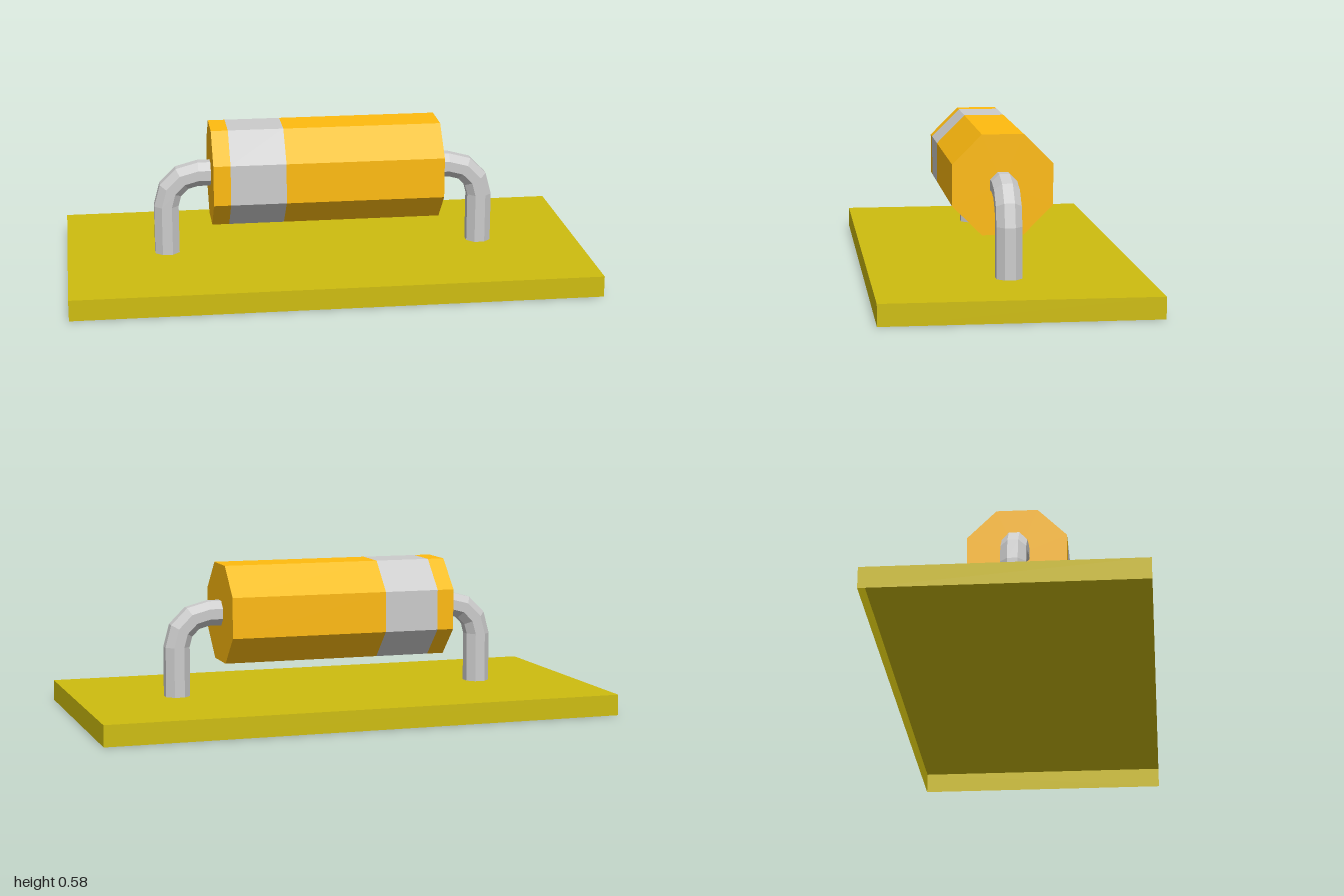
import * as THREE from 'three';

const SIDES = 8;
const AXIS_Y = 0.394; // height of the body's long axis

function material(color, side = THREE.FrontSide) {
  return new THREE.MeshStandardMaterial({ color, flatShading: true, side });
}

function addMesh(parent, name, geometry, mat) {
  const mesh = new THREE.Mesh(geometry, mat);
  mesh.name = name;
  parent.add(mesh);
  return mesh;
}

// Octagonal section of the body, from [radius, x] profile points
function bodySection(profile) {
  const points = profile.map(([r, x]) => new THREE.Vector2(r, x));
  const geometry = new THREE.LatheGeometry(points, SIDES, Math.PI / 8);
  geometry.rotateZ(-Math.PI / 2);
  return geometry;
}

// Octagonal wire rising from the board, bending inwards to the body
function leadGeometry() {
  const radius = 0.047 / Math.cos(Math.PI / 8);
  const bend = 0.124;
  const legX = 0.614;
  const path = [[legX, 0.08, 0]];
  for (let i = 0; i <= 3; i++) {
    const a = (i * Math.PI) / 6;
    path.push([
      legX - bend + bend * Math.cos(a),
      AXIS_Y - bend + bend * Math.sin(a),
      a,
    ]);
  }
  path.push([0.44, AXIS_Y, Math.PI / 2]);

  const rows = path.length - 1;
  const geometry = new THREE.CylinderGeometry(radius, radius, 1, SIDES, rows, true, Math.PI / 8);
  const pos = geometry.attributes.position;
  for (let i = 0; i < pos.count; i++) {
    const [px, py, a] = path[Math.round((pos.getY(i) + 0.5) * rows)];
    const offset = pos.getX(i);
    pos.setXY(i, px + offset * Math.cos(a), py + offset * Math.sin(a));
  }
  geometry.computeVertexNormals();
  return geometry;
}

// Thin slab without an underside
function boardGeometry() {
  const geometry = new THREE.BoxGeometry(2, 0.08, 1);
  const index = Array.from(geometry.index.array);
  index.splice(18, 6); // drop the bottom face
  geometry.setIndex(index);
  geometry.clearGroups();
  geometry.translate(0, 0.04, 0);
  return geometry;
}

export function createModel() {
  const model = new THREE.Group();
  model.name = 'boardComponent';

  const amber = material(0xffbb0f);
  const grey = material(0xcccccc);
  const wire = material(0xcccccc, THREE.DoubleSide);

  addMesh(model, 'board', boardGeometry(), material(0xcebd0f, THREE.DoubleSide));

  // Body with a flush grey band near one end
  const body = new THREE.Group();
  body.name = 'body';
  body.position.y = AXIS_Y;
  model.add(body);
  const r = 0.187 / Math.cos(Math.PI / 8);
  const end = 0.442, bandStart = -0.377, bandEnd = -0.165;
  addMesh(body, 'bodyShortEnd', bodySection([[0, -end], [r, -end], [r, bandStart]]), amber);
  addMesh(body, 'polarityBand', bodySection([[r, bandStart], [r, bandEnd]]), grey);
  addMesh(body, 'bodyLongEnd', bodySection([[r, bandEnd], [r, end], [0, end]]), amber);

  // Bent wire leads at both ends
  const lead = leadGeometry();
  addMesh(model, 'leftLead', lead, wire);
  addMesh(model, 'rightLead', lead, wire).rotation.y = Math.PI;

  return model;
}
